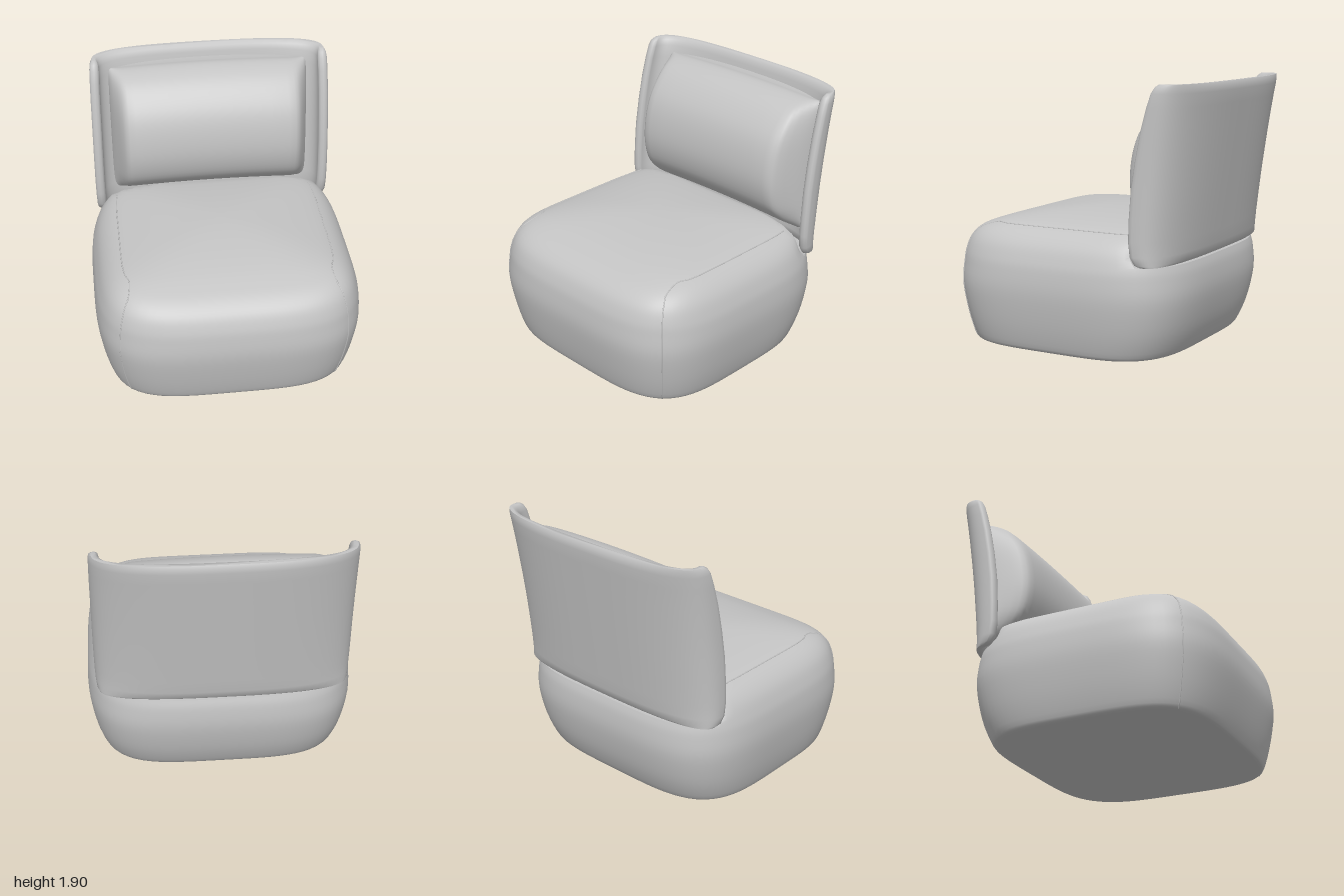
import * as THREE from 'three';
import { toCreasedNormals } from 'three/addons/utils/BufferGeometryUtils.js';

// Smooth interpolation through the rows of a small table
function sampler(rows) {
  const curve = new THREE.CubicInterpolant(
    new Float32Array(rows.map((_, i) => i)), new Float32Array(rows.flat()), rows[0].length);
  return t => Array.from(curve.evaluate(t));
}

// Unit superellipse point at an angle
function squircle(angle, n) {
  const c = Math.cos(angle), s = Math.sin(angle);
  const r = (Math.abs(c) ** n + Math.abs(s) ** n) ** (-1 / n);
  return [c * r, s * r];
}

// Skin a list of closed rings; caps close the first and last horizontally
function loft(rings, caps, crease = 0.8) {
  const n = rings[0].length, index = [];
  for (let r = 0; r < rings.length - 1; r++) {
    for (let i = 0; i < n; i++) {
      const a = r * n + i, b = r * n + (i + 1) % n;
      index.push(a, a + n, b, b, a + n, b + n);
    }
  }
  if (caps) {
    [[0, -1], [rings.length - 1, 1]].forEach(([r, up]) => {
      const flat = rings[r].map(p => new THREE.Vector2(p[0], p[2]));
      for (const [i, j, k] of THREE.ShapeUtils.triangulateShape(flat, [])) {
        const p = flat[i], q = flat[j], s = flat[k];
        const ny = (q.y - p.y) * (s.x - p.x) - (q.x - p.x) * (s.y - p.y);
        const o = r * n;
        if (ny * up > 0) index.push(o + i, o + j, o + k);
        else index.push(o + i, o + k, o + j);
      }
    });
  }
  const geo = new THREE.BufferGeometry();
  geo.setAttribute('position', new THREE.Float32BufferAttribute(rings.flat(2), 3));
  geo.setIndex(index);
  return toCreasedNormals(geo, crease);
}

// Seat outline by height: y, half width, front z, back z, squareness
const seatRows = [
  [0, 0.87, 0.89, -0.69, 4], [0.03, 0.90, 0.92, -0.73, 4],
  [0.2, 0.945, 0.965, -0.80, 4], [0.42, 0.975, 1.0, -0.845, 4],
  [0.58, 0.967, 0.99, -0.84, 4], [0.67, 0.945, 0.968, -0.815, 4.2],
  [0.76, 0.905, 0.92, -0.77, 4.6], [0.83, 0.84, 0.83, -0.72, 5.5],
  [0.875, 0.755, 0.71, -0.66, 6.5], [0.905, 0.645, 0.6, -0.58, 6],
  [0.932, 0.49, 0.45, -0.43, 5], [0.952, 0.31, 0.28, -0.25, 4],
  [0.962, 0.15, 0.14, -0.1, 3], [0.965, 0.01, 0.03, 0.01, 2],
];
const LEDGE = 5;   // row where the seat steps in to hold the backrest
const seatAt = sampler(seatRows);

function seatPoint(t, angle, cut) {
  const [y, w, front, back, n] = seatAt(t);
  const [c, s] = squircle(angle, n);
  let z = (front + back) / 2 + s * (front - back) / 2;
  if (cut) z = Math.max(z, -0.53 - 0.06 * Math.max(0, (0.76 - y) / 0.09) ** 2);
  return [c * w, y, z];
}

function seatGeometry() {
  const rings = [], steps = 4, sides = 112;
  const ring = (t, cut) => rings.push(Array.from({ length: sides },
    (_, i) => seatPoint(t, i / sides * Math.PI * 2, cut)));
  for (let k = 0; k <= (seatRows.length - 1) * steps; k++) {
    const t = k / steps;
    if (t <= LEDGE) ring(t, false);
    if (t >= LEDGE) ring(t, true);
  }
  return loft(rings, true);
}

// Seam up the front corner, then back along the edge of the top
function seamGeometry(side) {
  const pts = [], top = 7.9;
  const add = (t, a) => {
    const [x, y, z] = seatPoint(t, a, false);
    if (z > -0.53) pts.push(new THREE.Vector3(x * side, y, z));
  };
  for (let t = 0.5; t < 7.5; t += 0.5) add(t, Math.PI / 4);
  for (let a = 0.72; a > -0.8; a -= 0.08) add(top, a);
  return new THREE.TubeGeometry(new THREE.CatmullRomCurve3(pts), 90, 0.005, 6);
}

// Curved backrest shell: y, wing front z, half width, thickness
function shellGeometry() {
  const rows = [
    [0.68, -0.61, 0.88, 0.03], [0.695, -0.575, 0.895, 0.06], [0.75, -0.545, 0.903, 0.07],
    [0.85, -0.535, 0.907, 0.07], [1.0, -0.54, 0.908, 0.07], [1.2, -0.555, 0.907, 0.07],
    [1.4, -0.585, 0.905, 0.07], [1.6, -0.625, 0.903, 0.07], [1.75, -0.665, 0.9, 0.07],
    [1.84, -0.695, 0.897, 0.07], [1.88, -0.72, 0.89, 0.058], [1.9, -0.75, 0.875, 0.03],
  ];
  const steps = 48;
  const rings = rows.map(([y, front, w, thick]) => {
    const inset = (0.07 - thick) / 2;
    const back = -0.825 - 0.175 * (y - 0.68) / 1.22 + inset;
    const zc = front - 0.02, depth = zc - back, ring = [];
    const arc = (a, hx, d) => {
      const [c, s] = squircle(a, 2.8);
      ring.push([c * hx, y, zc - s * d]);
    };
    for (let i = steps; i >= 0; i--) arc(i / steps * Math.PI, w, depth);
    const tip = s => [[0.2, 0.013], [0.5, 0.02], [0.8, 0.013]]
      .map(([f, z]) => [s * (w - thick * f), y, zc + z]);
    ring.push(...tip(1));
    for (let i = 0; i <= steps; i++) arc(i / steps * Math.PI, w - thick, depth - thick);
    ring.push(...tip(-1).reverse());
    return ring;
  });
  return loft(rings, true, 1.0);
}

// Bulging back cushion: one side profile swept across x, tapering at the ends
function cushionGeometry() {
  const profile = sampler([   // y, z
    [0.80, -0.72], [0.86, -0.62], [0.93, -0.53], [1.02, -0.455], [1.14, -0.415],
    [1.27, -0.405], [1.42, -0.425], [1.55, -0.47], [1.66, -0.545], [1.74, -0.63],
    [1.785, -0.72], [1.803, -0.80], [1.795, -0.86],
  ]);
  const half = [              // x, bulge
    [0.762, 0], [0.76, 0.12], [0.75, 0.27], [0.73, 0.46], [0.70, 0.7], [0.675, 0.86],
    [0.655, 0.94], [0.63, 0.98], [0.58, 0.995], [0.45, 1], [0.3, 1], [0.15, 1],
  ];
  const stations = [...half.map(([x, f]) => [-x, f]), [0, 1], ...half.slice().reverse()];
  const rings = stations.map(([x, f]) => {
    const k = 1 - (x / 0.762) ** 2, ring = [], rear = [];
    for (let i = 0; i <= 36; i++) {
      const [y, z] = profile(i / 3);
      const plane = -0.72 - 0.14 * (y - 0.8);
      const yy = y - 0.015 + 0.022 * k;
      const wall = plane - 0.07 * k;
      ring.push([x, yy, wall + f * (z - wall)]);
      if (i % 6 === 0) rear.unshift([x, yy, wall - 0.01]);
    }
    return [...ring, ...rear];
  });
  return loft(rings, false);
}

export function createModel() {
  const fabric = new THREE.MeshStandardMaterial({ color: 0xc4c4c4 });
  fabric.name = 'grey fabric';
  const chair = new THREE.Group();
  chair.name = 'loungeChair';
  const add = (name, geometry) => {
    const mesh = new THREE.Mesh(geometry, fabric);
    mesh.name = name;
    chair.add(mesh);
  };
  add('seat', seatGeometry());
  add('leftSeam', seamGeometry(1));
  add('rightSeam', seamGeometry(-1));
  add('backrestShell', shellGeometry());
  add('backCushion', cushionGeometry());
  return chair;
}
